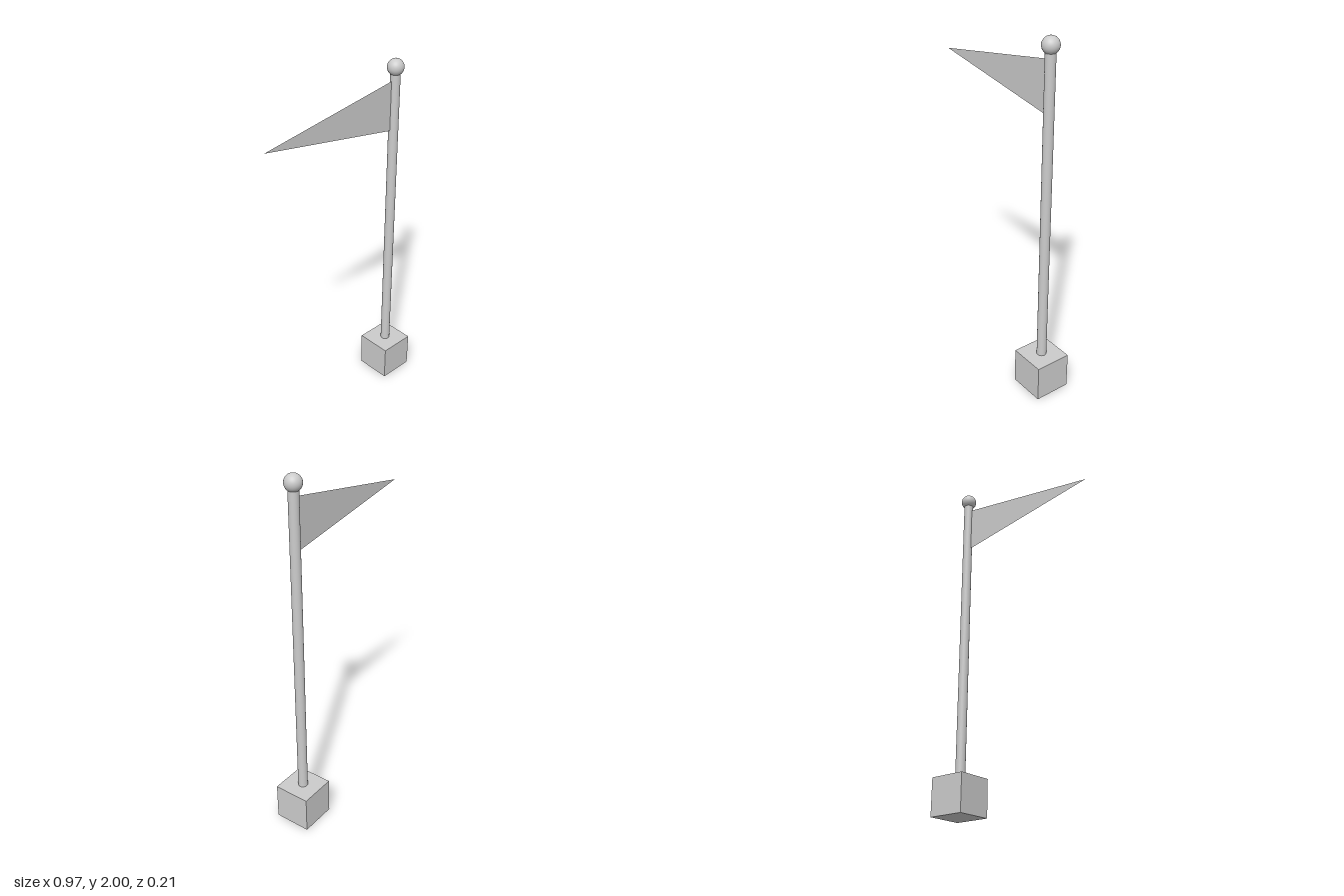
import * as THREE from 'three';

export function createModel() {
  const group = new THREE.Group();
  const poleX = 0.381;
  const material = new THREE.MeshStandardMaterial({ color: 0xcccccc });
  const clothMaterial = new THREE.MeshStandardMaterial({ color: 0xcccccc, side: THREE.DoubleSide });

  const add = (name, geometry, x, y, mat = material) => {
    const mesh = new THREE.Mesh(geometry, mat);
    mesh.name = name;
    mesh.position.set(x, y, 0);
    group.add(mesh);
  };

  // Cube foot
  add('base', new THREE.BoxGeometry(0.208, 0.208, 0.208), poleX, 0.104);

  // Slim round pole from the foot into the ball
  add('pole', new THREE.CylinderGeometry(0.027, 0.027, 1.75, 24), poleX, 1.075);

  // Ball on top
  add('finial', new THREE.SphereGeometry(0.045, 32, 20), poleX, 1.955);

  // Flat triangular pennant, its hoist edge set into the pole
  const pennant = new THREE.Shape([
    new THREE.Vector2(0, -0.137),
    new THREE.Vector2(0, 0.137),
    new THREE.Vector2(-0.845, 0),
  ]);
  add('pennant', new THREE.ShapeGeometry(pennant), 0.36, 1.749, clothMaterial);

  return group;
}
